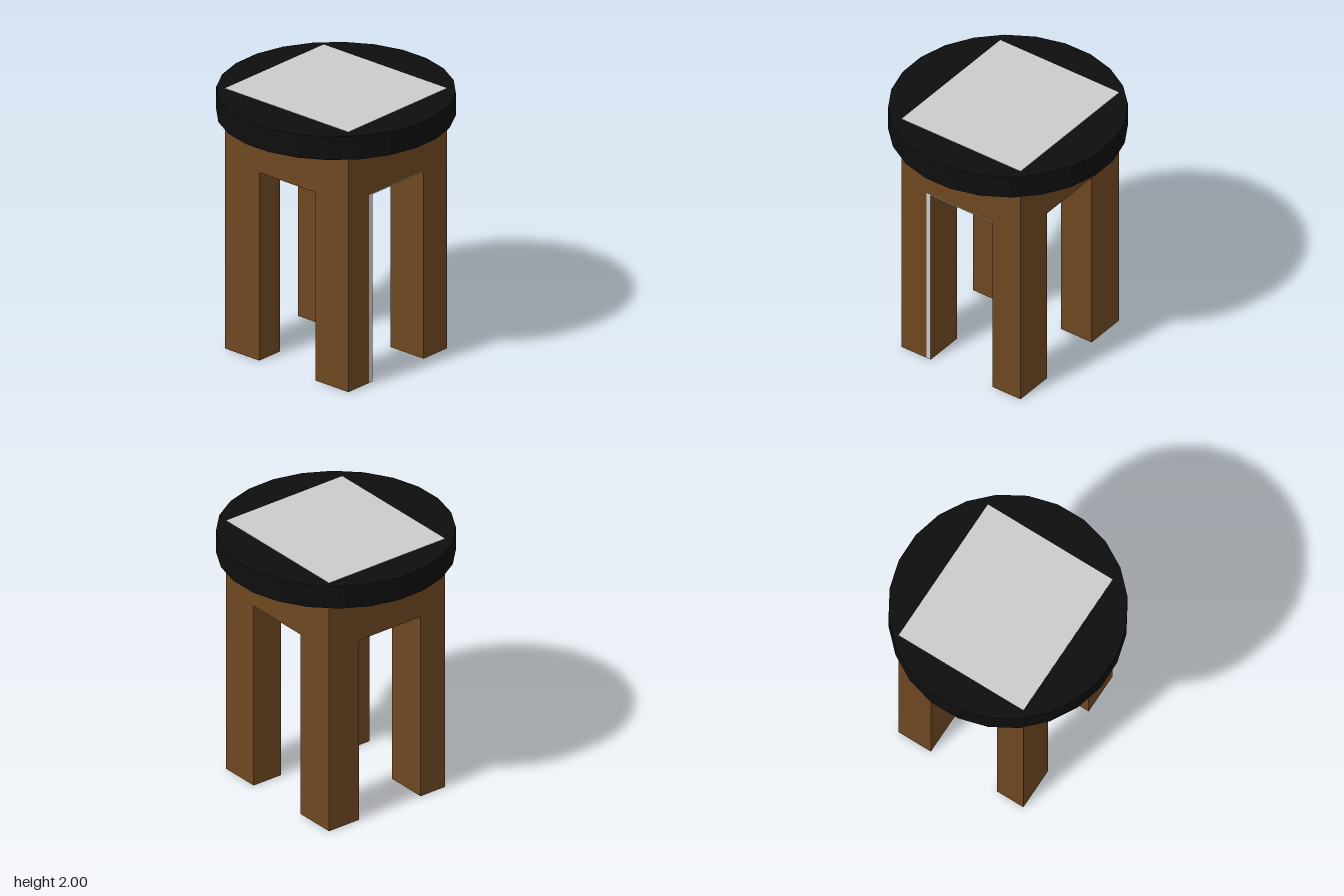
import * as THREE from 'three';

const make = (color) => new THREE.MeshStandardMaterial({ color, flatShading: true });

export function createModel() {
  const stool = new THREE.Group();
  stool.name = 'stool';
  const wood = make(0x6d4721), black = make(0x0e0e0e), grey = make(0xcccccc);

  // box given by its lower and upper corners
  const box = (name, [x0, y0, z0], [x1, y1, z1], material) => {
    const mesh = new THREE.Mesh(new THREE.BoxGeometry(x1 - x0, y1 - y0, z1 - z0), material);
    mesh.position.set((x0 + x1) / 2, (y0 + y1) / 2, (z0 + z1) / 2);
    mesh.name = name;
    stool.add(mesh);
  };

  const L = -0.51, R = 0.535, B = -0.595, F = 0.572; // outer faces of the frame
  const ceiling = 1.445, seatBottom = 1.82;

  // round seat, 24 sides, wooden underneath
  const seat = new THREE.Mesh(
    new THREE.CylinderGeometry(0.847, 0.847, 0.178, 24, 1, false, THREE.MathUtils.degToRad(8.1)),
    [black, black, wood]);
  seat.position.y = seatBottom + 0.089;
  seat.name = 'seat';
  stool.add(seat);

  // pale panel let into the seat
  box('seatPanel', [L, 1.9, B], [R, 2, F], grey);

  // solid block joining the legs
  box('apron', [L, ceiling, B], [R, seatBottom, F], wood);

  // four legs
  box('frontRightLeg', [L, 0, 0.26], [-0.29, ceiling, F], wood);
  box('frontLeftLeg', [0.287, 0, 0.26], [R, ceiling, F], wood);
  box('backRightLeg', [L, 0, B], [-0.29, ceiling, -0.27], wood);
  box('backLeftLeg', [0.265, 0, B], [R, ceiling, -0.27], wood);

  // strip on the inner edge of one front leg, pale in front and below
  box('legStrip', [-0.29, 0, 0.26], [-0.255, ceiling, F], [wood, wood, wood, grey, grey, wood]);

  // thin pale lip under the front of the apron
  box('apronLip', [-0.255, ceiling - 0.006, F - 0.02], [0.287, ceiling, F],
    [wood, wood, wood, wood, grey, wood]);

  // fine pale seams under the apron
  const y = ceiling - 0.003;
  box('crossSeam', [-0.29, y, -0.275], [0.265, ceiling, -0.265], grey);
  box('sideSeam', [-0.295, y, B + 0.005], [-0.285, ceiling, 0.26], grey);
  box('sideSeam', [0.26, y, -0.27], [0.27, ceiling, 0.26], grey);

  return stool;
}
